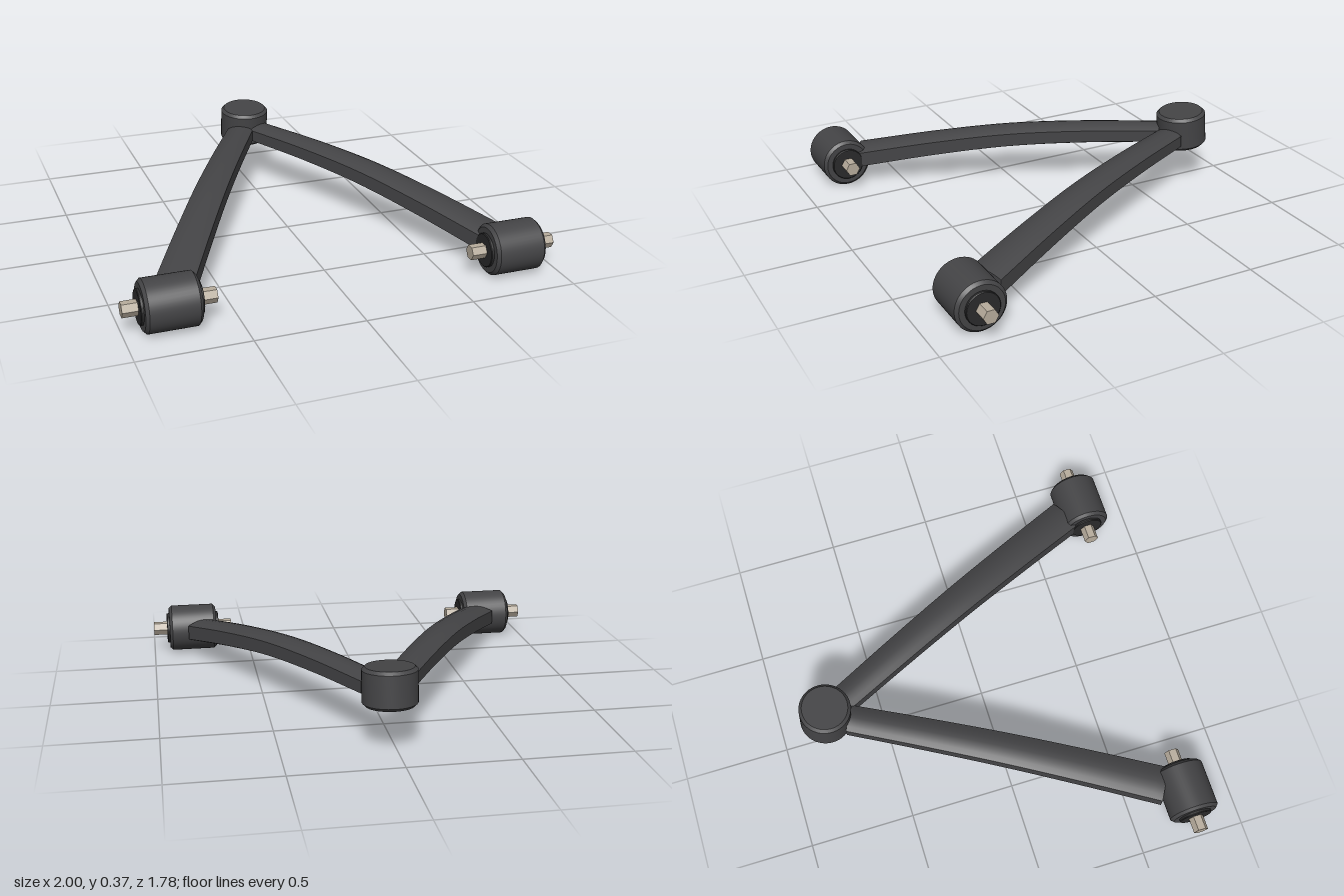
import * as THREE from 'three';
import { toCreasedNormals } from 'three/addons/utils/BufferGeometryUtils.js';

const paint = new THREE.MeshStandardMaterial({ color: 0x444446 });
const rubber = new THREE.MeshStandardMaterial({ color: 0x2a2a2b });
const steel = new THREE.MeshStandardMaterial({ color: 0xb8ad9d });

const BALL = { x: 0.024, y: 0.28, z: -0.765 };
const HUB = { x: 0.796, y: 0.118, z: 0.773 };

function part(name, geometry, material) {
  const mesh = new THREE.Mesh(geometry, material);
  mesh.name = name;
  return mesh;
}

// Solid cylinder along y with bevelled rims
function bevelledCylinder(r, h, b) {
  const profile = [[0, -h / 2], [r - b, -h / 2], [r, b - h / 2], [r, h / 2 - b], [r - b, h / 2], [0, h / 2]];
  const lathe = new THREE.LatheGeometry(profile.map(p => new THREE.Vector2(...p)), 48);
  return toCreasedNormals(lathe, 0.5);
}

// Arm section, counter-clockwise: crowned top and underside between upright sides
function armSection(w, h) {
  const crown = 0.02, steps = 6, points = [];
  for (const s of [1, -1]) {
    for (let k = 0; k <= steps; k++) {
      const u = 1 - 2 * k / steps;
      points.push([s * w * u, s * (h - crown * u * u)]);
    }
  }
  return points;
}

// Arched, tapering arm from hub to ball housing
function armGeometry(side) {
  const start = new THREE.Vector3(side * 0.746, 0.126, 0.68);
  const end = new THREE.Vector3(BALL.x + side * 0.053, 0.252, -0.663);
  const at = (t, y) => new THREE.Vector3().lerpVectors(start, end, t).setY(y);
  const path = new THREE.CatmullRomCurve3(
    [start, at(0.25, 0.187), at(0.5, 0.233), at(0.75, 0.251), end]);
  const across = end.clone().sub(start).setY(0).normalize().cross(new THREE.Vector3(0, 1, 0));
  const steps = 32, pos = [], idx = [];
  let n = 0;
  for (let i = 0; i <= steps; i++) {
    const t = i / steps, c = path.getPoint(t);
    const section = armSection(THREE.MathUtils.lerp(0.085, 0.066, t), THREE.MathUtils.lerp(0.056, 0.048, t));
    n = section.length;
    for (const [u, v] of section) {
      pos.push(c.x + across.x * u, c.y + v, c.z + across.z * u);
    }
  }
  for (let i = 0; i < steps; i++) {
    for (let j = 0; j < n; j++) {
      const p = i * n + j, q = i * n + (j + 1) % n;
      idx.push(p, p + n, q, q, p + n, q + n);
    }
  }
  // End caps
  const last = steps * n;
  for (let j = 1; j < n - 1; j++) {
    idx.push(0, j, j + 1, last, last + j + 1, last + j);
  }
  const g = new THREE.BufferGeometry();
  g.setAttribute('position', new THREE.Float32BufferAttribute(pos, 3));
  g.setIndex(idx);
  return toCreasedNormals(g, 0.5);
}

export function createModel() {
  const model = new THREE.Group();
  model.name = 'controlArm';

  for (const side of [-1, 1]) {
    const label = side > 0 ? 'left' : 'right';
    model.add(part(label + 'Arm', armGeometry(side), paint));

    // Pivot: steel sleeve, rubber bush and hexagonal pin along x
    const pivot = new THREE.Group();
    pivot.name = label + 'Pivot';
    pivot.add(part('sleeve', bevelledCylinder(0.118, 0.244, 0.014), paint));
    pivot.add(part('bush', bevelledCylinder(0.078, 0.27, 0.003), rubber));
    const hex = toCreasedNormals(new THREE.CylinderGeometry(0.035, 0.035, 0.408, 6), 0.5);
    pivot.add(part('hexPin', hex, steel));
    pivot.rotation.z = Math.PI / 2;
    pivot.position.set(side * HUB.x, HUB.y, HUB.z);
    model.add(pivot);
  }

  // Ball joint housing, tipped slightly forward
  const housing = part('ballJointHousing', bevelledCylinder(0.122, 0.172, 0.014), paint);
  housing.position.set(BALL.x, BALL.y, BALL.z);
  housing.rotation.x = 0.08;
  model.add(housing);

  return model;
}
